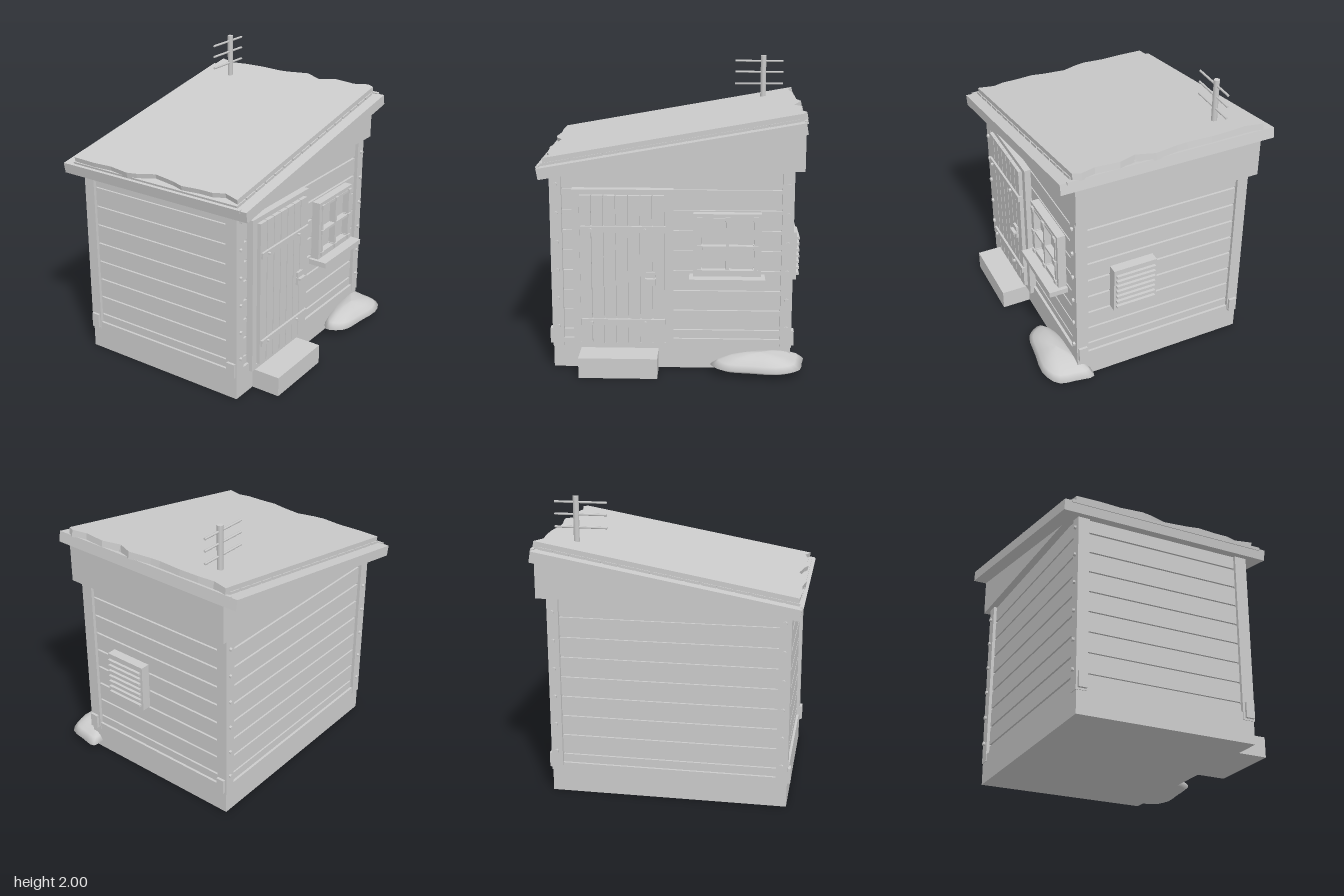
import * as THREE from 'three';

export function createModel() {
  const root = new THREE.Group();
  root.name = 'shed';
  const grey = new THREE.MeshStandardMaterial({ color: 0xcccccc });
  grey.name = 'plain grey';

  const add = (name, geo, parent = root) => {
    const m = new THREE.Mesh(geo, grey);
    m.name = name;
    parent.add(m);
    return m;
  };
  // box given by its low and high limits on each axis
  const box = (name, x0, x1, y0, y1, z0, z1, parent = root) => {
    const m = add(name, new THREE.BoxGeometry(x1 - x0, y1 - y0, z1 - z0), parent);
    m.position.set((x0 + x1) / 2, (y0 + y1) / 2, (z0 + z1) / 2);
    return m;
  };
  const group = (name) => {
    const g = new THREE.Group();
    g.name = name;
    root.add(g);
    return g;
  };
  // six-sided bolt head lying along z
  const bolt = (x, y, z, parent, r = 0.014) => {
    const m = add('bolt', new THREE.CylinderGeometry(r, r, 0.024, 6).toNonIndexed(), parent);
    m.geometry.computeVertexNormals();
    m.rotation.x = Math.PI / 2;
    m.position.set(x, y, z);
  };

  // foundation, wall core and step
  box('foundation', -0.807, 0.782, 0, 0.205, -0.672, 0.565);
  box('wallCore', -0.775, 0.75, 0.2, 1.36, -0.64, 0.53);
  box('doorStep', -0.62, -0.1, 0, 0.138, 0.55, 0.77);

  // horizontal cladding boards with narrow gaps
  const cladding = group('cladding');
  const edges = [0.205];
  for (let k = 7; k >= 0; k--) edges.push(1.24 - k * 0.1378);
  edges.push(1.37);
  for (let i = 0; i < edges.length - 1; i++)
    box('claddingBoard', -0.79, 0.765, edges[i], edges[i + 1] - 0.014, -0.655, 0.547, cladding);

  // corner posts with bolts and foot brackets
  const posts = group('cornerPosts');
  for (const left of [true, false]) {
    const [x0, x1] = left ? [0.71, 0.787] : [-0.812, -0.735];
    for (const front of [true, false]) {
      const [z0, z1] = front ? [0.485, 0.57] : [-0.677, -0.6];
      box('cornerPost', x0, x1, 0.152, left ? 1.385 : 1.34, z0, z1, posts);
      const outer = left ? x1 : x0;
      box('footBracket', outer - 0.018, outer + 0.018, 0.165, 0.268,
        front ? 0.5 : -0.665, front ? 0.56 : -0.608, posts);
      for (let k = 0; k < 6; k++)
        bolt(left ? 0.75 : -0.77, 0.29 + k * 0.195, front ? 0.574 : -0.681, posts);
    }
  }

  // wedge filling the space below the sloping roof
  const wedge = new THREE.Shape();
  wedge.moveTo(-0.62, 1.36);
  wedge.lineTo(0.85, 1.36);
  wedge.lineTo(0.85, 1.625);
  wedge.lineTo(-0.62, 1.364);
  const wedgeGeo = new THREE.ExtrudeGeometry(wedge, { depth: 1.295, bevelEnabled: false });
  wedgeGeo.translate(0, 0, -0.705);
  add('gableWedge', wedgeGeo);

  // roof, built level and then tilted
  const roof = group('roof');
  roof.position.set(-0.005, 1.4675, 0);
  roof.rotation.z = 0.1755;
  box('roofSlab', -0.873, 0.873, 0, 0.073, -0.8, 0.685, roof);
  for (const s of [-1, 1]) {
    const m = box('edgeStrip', 0.865, 0.886, 0.06, 0.08, -0.755, 0.64, roof);
    m.position.x = s > 0 ? 0.876 : -0.87;
  }
  for (let i = 0; i < 16; i++) {
    const x = -0.855 + i * 0.107;
    box('roofBatten', x, x + 0.092, 0.07, 0.09, -0.722, 0.607, roof);
  }
  // covering sheet with ragged ends
  const right = [[0.844, -0.715], [0.811, -0.6], [0.825, -0.49], [0.83, -0.35], [0.82, -0.18],
    [0.825, -0.11], [0.854, 0.05], [0.8, 0.17], [0.844, 0.29], [0.825, 0.45], [0.854, 0.55], [0.83, 0.6]];
  const left = [[-0.858, -0.715], [-0.863, -0.54], [-0.854, -0.4], [-0.873, -0.25], [-0.858, -0.18],
    [-0.811, -0.06], [-0.835, 0.1], [-0.858, 0.18], [-0.844, 0.31], [-0.844, 0.41], [-0.816, 0.49], [-0.85, 0.6]];
  const outline = [...right, ...left.reverse()]
    .map(([x, z]) => new THREE.Vector2((x + 0.026) / 0.9846, -z));
  const sheet = new THREE.ExtrudeGeometry(new THREE.Shape(outline), { depth: 0.048, bevelEnabled: false });
  sheet.rotateX(-Math.PI / 2);
  sheet.translate(0, 0.074, 0);
  add('roofSheet', sheet, roof);

  // aerial
  const aerial = group('aerial');
  const pole = add('aerialPole', new THREE.CylinderGeometry(0.02, 0.02, 0.42, 8), aerial);
  pole.position.set(0.62, 1.79, -0.49);
  for (const y of [1.96, 1.88, 1.795]) {
    const bar = add('aerialBar', new THREE.CylinderGeometry(0.008, 0.008, 0.35, 6), aerial);
    bar.rotation.z = Math.PI / 2;
    bar.position.set(0.59, y, -0.49);
  }

  // door
  const door = group('door');
  box('frameSide', -0.665, -0.617, 0.147, 1.236, 0.53, 0.592, door);
  box('frameSide', -0.048, 0, 0.147, 1.236, 0.53, 0.592, door);
  box('frameTop', -0.617, -0.048, 1.203, 1.236, 0.53, 0.592, door);
  box('frameBottom', -0.617, -0.048, 0.147, 0.183, 0.53, 0.592, door);
  box('doorBack', -0.62, -0.045, 0.18, 1.21, 0.53, 0.585, door);
  for (let i = 0; i < 7; i++) {
    const x = -0.612 + i * 0.08;
    box('doorPlank', x, x + 0.073, 0.187, 1.2, 0.57, 0.615, door);
  }
  for (const y of [0.34, 0.977]) {
    box('doorStrap', -0.605, -0.05, y - 0.021, y + 0.021, 0.6, 0.63, door);
    for (const x of [-0.54, -0.185]) bolt(x, y, 0.635, door, 0.011);
  }
  box('latchPlate', -0.178, -0.118, 0.595, 0.688, 0.6, 0.632, door);
  box('latchBar', -0.183, -0.113, 0.635, 0.65, 0.62, 0.655, door);

  // window
  const win = group('window');
  box('windowPane', 0.16, 0.56, 0.66, 1.05, 0.53, 0.562, win);
  box('frameSide', 0.13, 0.18, 0.655, 1.08, 0.53, 0.605, win);
  box('frameSide', 0.535, 0.577, 0.655, 1.08, 0.53, 0.605, win);
  box('frameTop', 0.18, 0.535, 1.04, 1.08, 0.53, 0.605, win);
  box('frameBottom', 0.18, 0.535, 0.655, 0.685, 0.53, 0.605, win);
  box('windowSill', 0.105, 0.602, 0.62, 0.658, 0.53, 0.68, win);
  for (const x of [0.173, 0.355, 0.54]) {
    box('uprightBar', x - 0.01, x + 0.01, 0.67, 1.05, 0.55, 0.61, win);
    for (const y of [0.69, 0.855, 1.045])
      if (x !== 0.355 || y !== 0.855)
        box('barJoint', x - 0.017, x + 0.017, y - 0.015, y + 0.015, 0.55, 0.619, win);
  }
  for (const y of [0.69, 0.855, 1.045])
    box('crossBar', 0.165, 0.55, y - 0.009, y + 0.009, 0.55, 0.608, win);

  // side vent with slats
  const vent = group('vent');
  box('ventBox', 0.75, 0.83, 0.55, 0.885, 0.007, 0.317, vent);
  for (let i = 0; i < 7; i++) {
    const y = 0.588 + i * 0.042;
    box('ventSlat', 0.82, 0.85, y - 0.008, y + 0.008, 0.022, 0.303, vent);
  }

  // low smooth mound by the corner, from scaled rings of one outline
  const rim = new THREE.CatmullRomCurve3([[0.25, 0.62], [0.28, 0.7], [0.34, 0.745], [0.5, 0.768],
    [0.7, 0.79], [0.83, 0.73], [0.86, 0.6], [0.872, 0.485], [0.8, 0.475], [0.6, 0.5], [0.4, 0.54]]
    .map(([x, z]) => new THREE.Vector3(x, 0, z)), true).getPoints(28).slice(0, 28);
  const rings = [[0.001, 0.147], [0.3, 0.141], [0.6, 0.122], [0.85, 0.09], [1, 0.055], [0.85, 0.037], [0.5, 0.027], [0.001, 0.025]];
  const pos = [], idx = [], n = rim.length;
  rings.forEach(([s, y], r) => rim.forEach((p, i) => {
    pos.push(0.58 + (p.x - 0.58) * s, y, 0.64 + (p.z - 0.64) * s);
    if (r === 0) return;
    const j = (i + 1) % n, a = (r - 1) * n, b = r * n;
    idx.push(a + i, b + i, b + j, a + i, b + j, a + j);
  }));
  const mound = new THREE.BufferGeometry();
  mound.setAttribute('position', new THREE.Float32BufferAttribute(pos, 3));
  mound.setIndex(idx);
  mound.computeVertexNormals();
  add('cornerMound', mound);

  return root;
}
